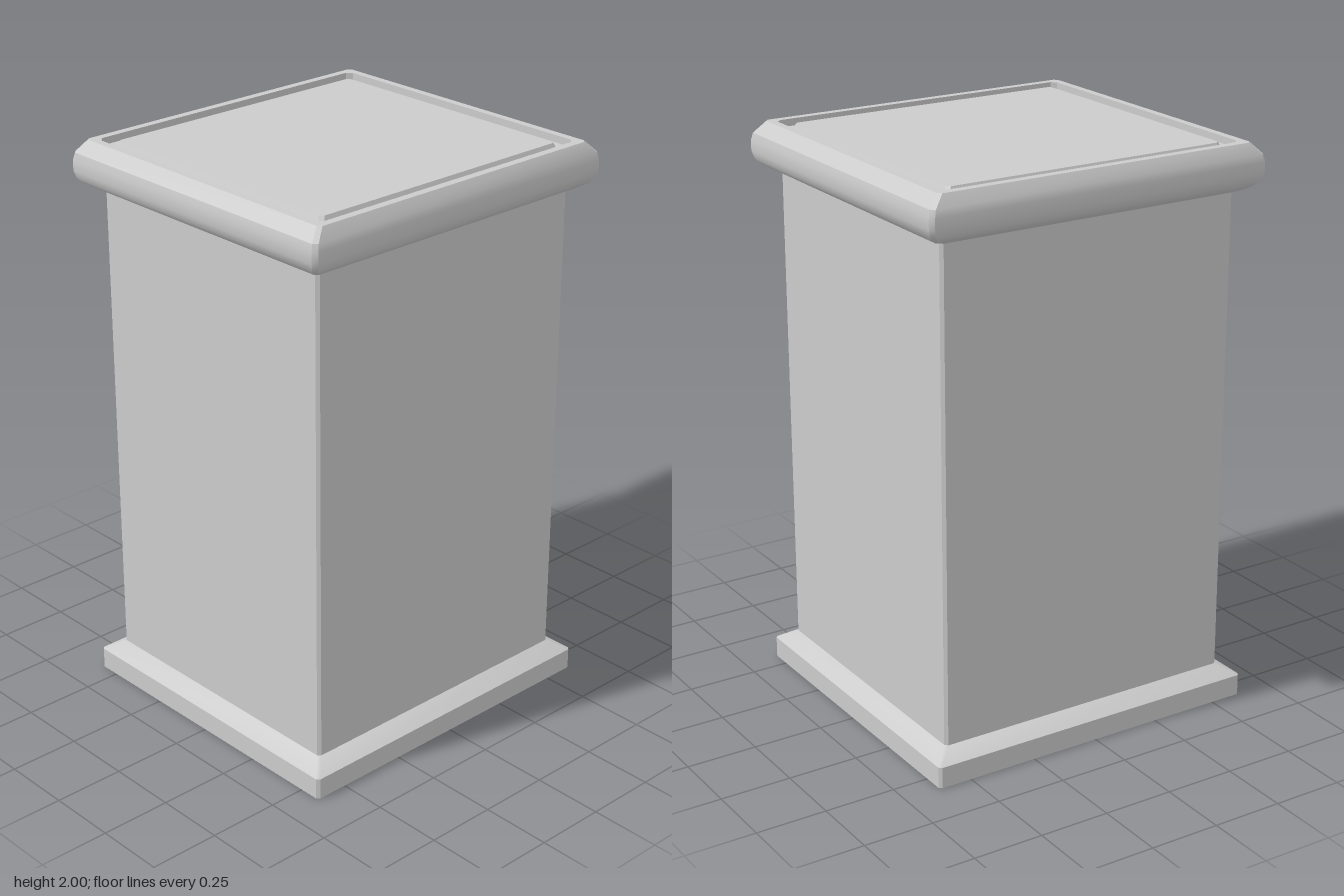
import * as THREE from 'three';
import { toCreasedNormals } from 'three/addons/utils/BufferGeometryUtils.js';

const material = new THREE.MeshStandardMaterial({ color: 0xcccccc });

// Eight corners of a rectangle with chamfered corners, counter-clockwise from above
function ring([hx, hz, y, c]) {
  return [
    [hx, hz - c], [hx, c - hz], [hx - c, -hz], [c - hx, -hz],
    [-hx, c - hz], [-hx, hz - c], [c - hx, hz], [hx - c, hz],
  ].map(([x, z]) => new THREE.Vector3(x, y, z));
}

// Skin through [halfX, halfZ, y, chamfer] sections, with optional end caps
function loft(name, sections, capBottom, capTop) {
  const rings = sections.map(ring);
  const pos = [];
  const tri = (...pts) => pts.forEach((p) => pos.push(p.x, p.y, p.z));
  for (let i = 0; i < rings.length - 1; i++) {
    const lo = rings[i], hi = rings[i + 1];
    for (let j = 0; j < 8; j++) {
      const k = (j + 1) % 8;
      tri(lo[j], lo[k], hi[k]);
      tri(lo[j], hi[k], hi[j]);
    }
  }
  const first = rings[0], last = rings[rings.length - 1];
  for (let j = 1; j < 7; j++) {
    if (capBottom) tri(first[0], first[j + 1], first[j]);
    if (capTop) tri(last[0], last[j], last[j + 1]);
  }
  const geometry = new THREE.BufferGeometry();
  geometry.setAttribute('position', new THREE.Float32BufferAttribute(pos, 3));
  const mesh = new THREE.Mesh(toCreasedNormals(geometry, Math.PI / 6), material);
  mesh.name = name;
  return mesh;
}

export function createModel() {
  const model = new THREE.Group();
  model.name = 'pedestal';

  // Plinth with a sloped upper edge
  model.add(loft('base', [
    [0.62, 0.58, 0, 0.01],
    [0.62, 0.58, 0.075, 0.01],
    [0.56, 0.52, 0.113, 0.01],
  ], true, false));

  // Plain shaft with slightly chamfered corners
  model.add(loft('shaft', [
    [0.56, 0.52, 0.113, 0.01],
    [0.56, 0.52, 1.83, 0.01],
  ], false, false));

  // Moulded cap: rounded underside, bevelled rim and sunken groove
  model.add(loft('cap', [
    [0.56, 0.52, 1.828, 0.01],
    [0.59, 0.548, 1.84, 0.012],
    [0.615, 0.572, 1.855, 0.014],
    [0.63, 0.587, 1.872, 0.014],
    [0.638, 0.595, 1.897, 0.014],
    [0.638, 0.595, 1.935, 0.014],
    [0.632, 0.59, 1.96, 0.014],
    [0.592, 0.565, 2, 0.012],
    [0.565, 0.537, 2, 0.018],
    [0.565, 0.537, 1.975, 0.018],
    [0.527, 0.502, 1.975, 0.012],
  ], false, false));

  // Raised top panel inside the groove
  model.add(loft('topPanel', [
    [0.527, 0.502, 1.975, 0.012],
    [0.518, 0.493, 1.995, 0.012],
  ], false, true));

  return model;
}
